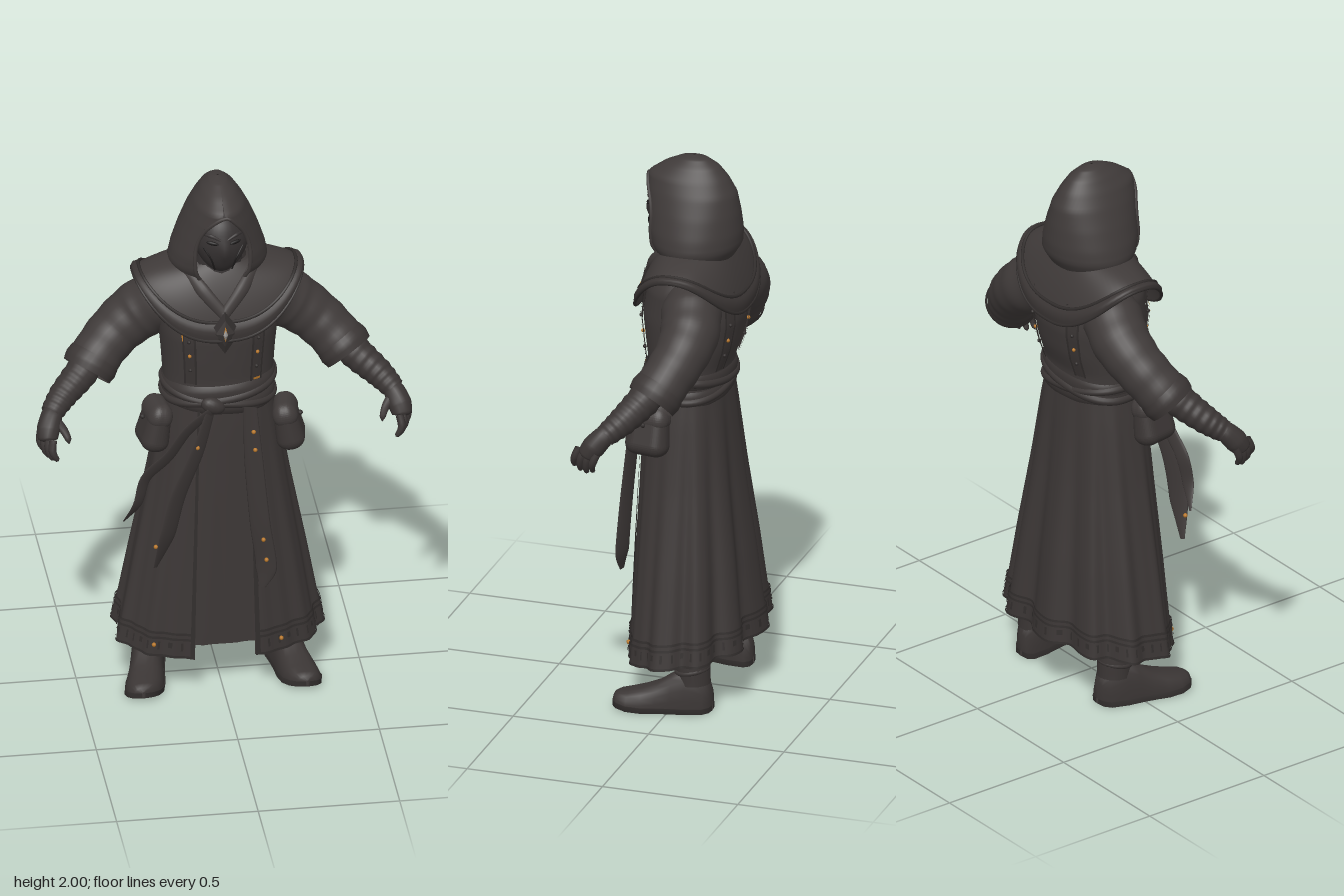
import * as THREE from 'three';
import { RoundedBoxGeometry } from 'three/addons/geometries/RoundedBoxGeometry.js';

const paint = (name, color) => {
  const m = new THREE.MeshStandardMaterial({ color, side: THREE.DoubleSide });
  m.name = name;
  return m;
};
const V = (x, y, z) => new THREE.Vector3(x, y, z);

// Surface from f(u, v); u runs around, v runs down
function grid(nu, nv, f, closed = false) {
  const pos = [], idx = [], w = closed ? nu : nu + 1;
  for (let j = 0; j <= nv; j++)
    for (let i = 0; i < w; i++) pos.push(...f(i / nu, j / nv).toArray());
  for (let j = 0; j < nv; j++)
    for (let i = 0; i < nu; i++) {
      const a = j * w + i, b = j * w + ((i + 1) % w), c = a + w, d = b + w;
      idx.push(a, c, b, b, c, d);
    }
  const g = new THREE.BufferGeometry();
  g.setAttribute('position', new THREE.Float32BufferAttribute(pos, 3));
  g.setIndex(idx);
  g.computeVertexNormals();
  return g;
}

// Tube with varying radius through [x, y, z, r]; flat squeezes it along ref
function limb(pts, { sides = 14, rows = 24, flat = 1, ref = V(0, 0, 1), ripple = 0, waves = 8 } = {}) {
  const curve = new THREE.CatmullRomCurve3(pts.map(p => V(p[0], p[1], p[2])));
  return grid(sides, rows, (u, v) => {
    const k = v * (pts.length - 1), i = Math.min(Math.floor(k), pts.length - 2);
    const r = THREE.MathUtils.lerp(pts[i][3], pts[i + 1][3], k - i) * (1 + ripple * Math.sin(v * waves * 6.283));
    const t = curve.getTangent(v), n = V().copy(ref).cross(t).normalize(), b = t.clone().cross(n);
    const a = u * Math.PI * 2;
    return curve.getPoint(v).addScaledVector(n, r * Math.cos(a)).addScaledVector(b, -r * flat * Math.sin(a));
  }, true);
}

// Interpolate a table whose first column is the key, descending
function lookup(rows, y) {
  let i = 0;
  while (i < rows.length - 2 && y < rows[i + 1][0]) i++;
  const t = THREE.MathUtils.clamp((rows[i][0] - y) / (rows[i][0] - rows[i + 1][0]), 0, 1);
  return rows[i].map((q, k) => THREE.MathUtils.lerp(q, rows[i + 1][k], t));
}
const soft = (q, e) => Math.sign(q) * Math.abs(q) ** e;
// Point on a rounded section; angle 0 is the front, rows are [y, halfWidth, front, back]
function around(rows, y, a, off = 0) {
  const [, rx, zf, zb] = lookup(rows, y), c = Math.cos(a);
  return V((rx + off) * soft(Math.sin(a), 0.88), y, ((c > 0 ? zf : zb) + off) * soft(c, 0.88));
}

const TORSO = [[1.68, 0.1, 0.07, 0.1], [1.62, 0.18, 0.11, 0.15], [1.54, 0.215, 0.15, 0.18], [1.42, 0.21, 0.17, 0.185],
  [1.32, 0.2, 0.16, 0.165], [1.24, 0.195, 0.15, 0.135], [1.12, 0.19, 0.15, 0.13]];
const SKIRT = [[1.18, 0.185, 0.155, 0.125], [1.05, 0.21, 0.165, 0.14], [0.8, 0.25, 0.175, 0.165], [0.5, 0.305, 0.185, 0.2], [0.18, 0.36, 0.195, 0.23]];
const HOOD = [ // y, halfWidth, depth, centre z, opening half angle
  [2, 0.004, 0.004, 0, 0], [1.992, 0.03, 0.05, 0, 0], [1.965, 0.06, 0.1, 0.008, 0], [1.925, 0.088, 0.145, 0.02, 0.02],
  [1.87, 0.115, 0.162, 0.008, 0.56], [1.8, 0.143, 0.166, 0, 0.7], [1.73, 0.166, 0.168, -0.005, 0.64],
  [1.68, 0.176, 0.16, -0.01, 0.56], [1.64, 0.16, 0.135, -0.01, 0.5]];

const torsoAt = (a, y, off = 0) => around(TORSO, y, a, off);
function skirtAt(a, v, off = 0) {
  const back = 0.5 - 0.5 * Math.cos(a);
  const p = around(SKIRT, 1.18 - v, a, off + v * (0.003 + 0.018 * back) * Math.cos(a * 11 - 4.24) + 0.003 * v * Math.sin(a * 23));
  p.y -= v * v * 0.03 * Math.cos(a) - 0.005;
  return p;
}
const slit = v => Math.asin(Math.min(0.9, (0.082 + 0.02 * v) / lookup(SKIRT, 1.18 - v)[1])) * 0.88;
const skirtAngle = (u, v) => THREE.MathUtils.lerp(slit(v), Math.PI * 2 - slit(v), u);
function mantleAt(a, v, off = 0) {
  const s = Math.sin(a), c = Math.cos(a);
  const k = Math.sin(v * Math.PI / 2) * 0.6 + v * 0.4;
  const hem = (c > 0 ? 1.43 : 1.45) + (c > 0 ? 0.195 : 0.175) * Math.abs(s) ** 2.1;
  const rx = THREE.MathUtils.lerp(0.12, 0.295, k), rz = THREE.MathUtils.lerp(0.1, c > 0 ? 0.195 : 0.187, k);
  return V((rx + off) * soft(s, 0.84), THREE.MathUtils.lerp(1.685, hem, v ** 1.2) + off * 0.7, (rz + off) * soft(c, 0.84) - 0.012);
}

export function createModel() {
  const root = new THREE.Group();
  const cloth = paint('charcoal cloth', 0x3f3a39), skirtCloth = paint('dark robe cloth', 0x3c3736);
  const trim = paint('dark trim', 0x312d2c), leather = paint('leather', 0x3a3534);
  const maskMat = paint('mask', 0x353131), black = paint('shadow black', 0x1b1919);
  const gold = paint('aged gold', 0xb8772a), silver = paint('silver gem', 0x9a9794);
  const add = (name, geo, mat, parent = root) => {
    const m = new THREE.Mesh(geo, mat);
    m.name = name;
    parent.add(m);
    return m;
  };
  const stud = (p, mat = gold, r = 0.008) => add('stud', new THREE.SphereGeometry(r, 8, 6), mat).position.copy(p);
  const TAU = Math.PI * 2;

  // Torso, with stitched strips front and back
  add('torso', grid(48, 24, (u, v) => torsoAt(u * TAU, 1.68 - v * 0.56), true), cloth);
  for (const a of [0.55, -0.55, Math.PI - 0.5, Math.PI + 0.5]) {
    add('torsoStrip', grid(4, 12, (u, v) => torsoAt(a + (u - 0.5) * 0.2, 1.54 - v * 0.3, 0.007)), leather);
    for (const e of [-0.11, 0.11])
      add('stripEdge', grid(1, 12, (u, v) => torsoAt(a + e + (u - 0.5) * 0.04, 1.54 - v * 0.3, 0.01)), trim);
    for (let i = 0; i < 3; i++) stud(torsoAt(a, 1.42 - i * 0.06, 0.008), i === 1 ? gold : trim, 0.007);
  }
  // Gold clasps on the chest
  for (const [a, y, w, h] of [[-0.6, 1.455, 0.09, 0.009], [-0.66, 1.44, 0.025, 0.035], [0.55, 1.25, 0.14, 0.009]])
    add('clasp', grid(2, 2, (u, v) => torsoAt(a + (u - 0.5) * w, y + (0.5 - v) * h, 0.013)), gold);
  for (const s of [-1, 1])
    add('neckFold', limb([[s * 0.12, 1.67, 0.07, 0.02], [s * 0.07, 1.61, 0.13, 0.025], [0, 1.53, 0.17, 0.02]], { flat: 0.6 }), cloth);
  add('neck', new THREE.CylinderGeometry(0.075, 0.1, 0.16, 20), maskMat).position.set(0, 1.65, 0.02);

  // Mantle with a raised border and pendant
  add('mantle', grid(64, 14, (u, v) => mantleAt(u * TAU, v), true), cloth);
  add('mantleBorder', grid(64, 4, (u, v) => mantleAt(u * TAU, 0.78 + v * 0.23, 0.004 + 0.008 * Math.sin(v * Math.PI)), true), leather);
  for (const v of [0.77, 1])
    add('mantlePiping', limb(Array.from({ length: 49 }, (_, i) => [...mantleAt(i / 48 * TAU, v, 0.004).toArray(), 0.006]),
      { sides: 6, rows: 96, ref: V(0, 1, 0) }), trim);
  const diamond = (name, w, h, d, z, mat) => {
    const m = add(name, new THREE.OctahedronGeometry(1), mat);
    m.scale.set(w, h, d);
    m.position.set(0, 1.465, z);
  };
  diamond('pendant', 0.056, 0.085, 0.018, 0.183, trim);
  diamond('pendantRim', 0.034, 0.052, 0.016, 0.19, leather);
  diamond('pendantSetting', 0.014, 0.03, 0.012, 0.197, gold);
  diamond('pendantGem', 0.01, 0.022, 0.012, 0.2, silver);

  // Hood with an open front and rolled edge
  const hoodAt = (u, y) => {
    const [, rx, rz, cz, open] = lookup(HOOD, y), a = THREE.MathUtils.lerp(open, TAU - open, u);
    return V(rx * Math.sin(a), y, cz + rz * Math.cos(a));
  };
  add('hood', grid(48, 36, (u, v) => hoodAt(u, 2 - 0.36 * v ** 1.5)), cloth);
  const edge = [];
  for (let i = 0; i <= 8; i++) edge.push([...hoodAt(0, 1.645 + i * 0.034).toArray(), 0.007]);
  add('hoodEdge', limb([...edge, ...edge.slice(0, -1).reverse().map(([x, y, z, r]) => [-x, y, z, r])], { rows: 48, sides: 8 }), cloth);

  // Masked face: narrow jaw, long chin, ridged nose
  const face = new THREE.SphereGeometry(1, 32, 28), fp = face.attributes.position;
  for (let i = 0; i < fp.count; i++) {
    const x = fp.getX(i), y = fp.getY(i), z = fp.getZ(i);
    const jaw = y < 0 ? 1 + y * 0.25 : 1;
    const nose = z > 0 ? 0.016 * Math.exp(-x * x * 40 - (y + 0.05) ** 2 * 12) : 0;
    fp.setXYZ(i, x * 0.1 * jaw, 1.785 + y * 0.125, 0.045 + soft(z, 0.75) * 0.118 + nose);
  }
  face.computeVertexNormals();
  add('mask', face, maskMat);
  for (const s of [-1, 1]) {
    const eye = add('eyeSlit', new THREE.SphereGeometry(1, 12, 8), black);
    eye.scale.set(0.022, 0.007, 0.006);
    eye.position.set(s * 0.04, 1.815, 0.157);
    eye.rotation.set(0, s * 0.3, s * 0.15);
    add('brow', limb([[s * 0.012, 1.828, 0.165, 0.004], [s * 0.045, 1.842, 0.152, 0.007], [s * 0.075, 1.84, 0.128, 0.003]], { sides: 8 }), maskMat);
    add('cheekLine', limb([[s * 0.07, 1.79, 0.136, 0.003], [s * 0.045, 1.75, 0.154, 0.003], [s * 0.03, 1.7, 0.143, 0.003]], { sides: 6 }), black);
  }

  // Skirt, open over an inner panel
  add('skirt', grid(132, 30, (u, v) => skirtAt(skirtAngle(u, v), v), false), skirtCloth);
  add('innerPanel', grid(12, 20, (u, v) => skirtAt((u - 0.5) * 1.1, v * 0.955, -0.014)), skirtCloth);
  add('skirtHem', grid(132, 4, (u, v) => skirtAt(skirtAngle(u, 0.91 + v * 0.085), 0.91 + v * 0.085, 0.004)), leather);
  for (const h of [0.905, 0.925, 0.99])
    add('hemPiping', grid(132, 2, (u, v) => skirtAt(skirtAngle(u, h), h + v * 0.009, 0.007)), trim);
  for (let i = 1; i < 44; i++) {
    const a = skirtAngle(i / 44, 0.95), n = i % 3;
    add('hemStitch', grid(1, 2, (u, v) => skirtAt(a + (u - 0.5) * (n ? 0.025 : 0.05), 0.943 + v * (n ? 0.03 : 0.02), 0.007)), trim);
  }
  for (const s of [-1, 1])
    add('openingEdge', grid(2, 24, (u, v) => skirtAt(s * (slit(v) + u * 0.045), v, 0.005)), trim);

  // Wrapped sash, knot and hanging tails
  [[1.2, 0.012, 0.035, 0.014], [1.155, -0.012, 0.035, 0.013], [1.18, 0.03, 0.02, 0.021], [1.165, -0.03, 0.018, 0.02]].forEach(([y, tilt, h, out]) =>
    add('sashWrap', grid(56, 6, (u, v) => {
      const a = u * TAU, p = around(SKIRT, 1.17, a, out * Math.sqrt(Math.sin(v * Math.PI) + 0.02));
      p.y = y + tilt * Math.sin(a) - (v - 0.5) * 2 * h;
      return p;
    }, true), leather));
  const knot = add('sashKnot', new THREE.SphereGeometry(1, 16, 12), leather);
  knot.scale.set(0.045, 0.03, 0.025);
  knot.position.set(-0.04, 1.165, 0.17);
  knot.rotation.z = -0.4;
  const tails = [
    [0.6, [[-0.05, 1.15, 0.185, 0.02], [-0.13, 1.08, 0.185, 0.024], [-0.2, 0.98, 0.185, 0.026], [-0.28, 0.9, 0.185, 0.026], [-0.31, 0.8, 0.19, 0.022], [-0.355, 0.72, 0.165, 0.004]]],
    [0.6, [[-0.05, 1.15, 0.18, 0.02], [-0.1, 1.0, 0.2, 0.032], [-0.17, 0.84, 0.222, 0.036], [-0.21, 0.68, 0.225, 0.036], [-0.25, 0.55, 0.21, 0.008]]],
    [-0.35, [[0.09, 1.15, 0.175, 0.025], [0.1, 0.95, 0.192, 0.034], [0.12, 0.7, 0.212, 0.037], [0.14, 0.52, 0.22, 0.039], [0.125, 0.45, 0.225, 0.012]]]];
  tails.forEach(([turn, t]) => add('sashTail', limb(t, { flat: 0.2, rows: 30, ref: V(turn, 0, 1).normalize() }), leather));
  [[-0.1, 1.02, 0.207], [-0.25, 0.64, 0.222], [0.1, 1.06, 0.193], [0.105, 0.99, 0.198], [0.13, 0.64, 0.226], [0.14, 0.56, 0.23]].forEach(p => stud(V(...p)));
  for (const a of [-0.7, 0.54]) stud(skirtAt(a, 0.955, 0.008));

  for (const s of [-1, 1]) {
    // Belt pouch, fuller at the bottom, with a flap
    const pouch = new THREE.Group();
    pouch.name = 'pouch';
    pouch.position.set(s * 0.235, s > 0 ? 1.035 : 1.065, 0.09);
    pouch.rotation.set(0, s * -0.15, s * 0.2);
    root.add(pouch);
    const taper = geo => {
      const p = geo.attributes.position;
      for (let i = 0; i < p.count; i++) {
        const k = 1 - 2.2 * (p.getY(i) + 0.02);
        p.setXYZ(i, p.getX(i) * k, p.getY(i), p.getZ(i) * (1 + (k - 1) * 0.5));
      }
      geo.computeVertexNormals();
      return geo;
    };
    add('pouchBody', taper(new RoundedBoxGeometry(0.095, 0.18, 0.155, 6, 0.045)), leather, pouch);
    add('pouchFlap', taper(new RoundedBoxGeometry(0.105, 0.09, 0.165, 6, 0.044).translate(0, 0.05, 0)), cloth, pouch);
    add('pouchButton', new THREE.SphereGeometry(0.009, 8, 6), trim, pouch).position.set(s * 0.05, 0.025, 0);

    // Wide sleeve, cuff and wrapped forearm
    add('sleeve', limb([[s * 0.11, 1.535, -0.03, 0.085], [s * 0.195, 1.485, -0.055, 0.106], [s * 0.27, 1.43, -0.072, 0.104], [s * 0.345, 1.372, -0.062, 0.094],
      [s * 0.405, 1.315, -0.035, 0.09], [s * 0.455, 1.255, -0.002, 0.089]], { sides: 28, rows: 40, ripple: 0.012, waves: 6 }), cloth);
    add('cuff', limb([[s * 0.43, 1.287, -0.02, 0.092], [s * 0.447, 1.267, -0.008, 0.097], [s * 0.463, 1.246, 0.004, 0.091]], { sides: 28, rows: 6 }), leather);
    add('sleeveLining', limb([[s * 0.43, 1.287, -0.02, 0.088], [s * 0.435, 1.281, -0.017, 0.003]], { sides: 24, rows: 2 }), black);
    add('forearm', limb([[s * 0.42, 1.31, -0.02, 0.058], [s * 0.495, 1.245, 0.033, 0.058], [s * 0.56, 1.195, 0.08, 0.05], [s * 0.605, 1.155, 0.125, 0.04]],
      { sides: 18, rows: 60, ripple: 0.03, waves: 8 }), leather);

    // Gloved hand with curled fingers
    add('palm', limb([[s * 0.59, 1.17, 0.11, 0.03], [s * 0.605, 1.15, 0.132, 0.038], [s * 0.62, 1.115, 0.162, 0.042], [s * 0.626, 1.085, 0.183, 0.035], [s * 0.626, 1.075, 0.188, 0.003]]), leather);
    for (let i = 0; i < 4; i++) {
      const z = 0.142 + i * 0.026, x = 0.645 - i * 0.011, drop = [0.01, 0, 0.002, 0.012][i];
      add('finger', limb([[s * x, 1.1, z, 0.014], [s * (x + 0.005), 1.07, z + 0.012, 0.014], [s * x, 1.04 + drop, z + 0.018, 0.012],
        [s * (x - 0.012), 1.02 + drop, z + 0.018, 0.009], [s * (x - 0.016), 1.014 + drop, z + 0.017, 0.001]], { sides: 8, rows: 12 }), leather);
    }
    add('thumb', limb([[s * 0.59, 1.135, 0.15, 0.018], [s * 0.567, 1.11, 0.175, 0.015], [s * 0.555, 1.085, 0.195, 0.011], [s * 0.553, 1.07, 0.2, 0.001]], { sides: 8, rows: 12 }), leather);

    // Leg and boot
    add('leg', limb([[s * 0.13, 0.75, -0.02, 0.085], [s * 0.18, 0.4, -0.05, 0.075], [s * 0.225, 0.2, -0.07, 0.06], [s * 0.23, 0.1, -0.075, 0.06]], { sides: 20 }), leather);
    const fold = add('ankleFold', new THREE.TorusGeometry(0.056, 0.009, 8, 24), leather);
    fold.position.set(s * 0.228, 0.15, -0.07);
    fold.rotation.x = Math.PI / 2 + 0.2;
    const foot = [[-0.142, 0.004, 0.03], [-0.138, 0.03, 0.08], [-0.12, 0.05, 0.13], [-0.06, 0.06, 0.16], [-0.01, 0.06, 0.135], [0.04, 0.063, 0.1],
      [0.09, 0.069, 0.08], [0.14, 0.068, 0.062], [0.175, 0.055, 0.048], [0.193, 0.034, 0.036], [0.2, 0.003, 0.02]];
    const footAt = (k, a, grow, low) => {
      const [z, w, h] = foot[k], q = Math.sin(a), lift = z > 0.12 ? (z - 0.12) * 0.2 : 0;
      return V(s * (0.25 + z * 0.2) - (w + grow) * soft(Math.cos(a), 0.7), lift + (low ? (q > 0 ? 0.02 : 0) : 0.004 + Math.max(0, q) ** 0.9 * h), z);
    };
    const n = foot.length - 1;
    add('boot', grid(24, n, (u, v) => footAt(Math.round(v * n), u * TAU, 0, false), true), leather);
    add('bootSole', grid(24, n, (u, v) => footAt(Math.round(v * n), u * TAU, 0.003, true), true), trim);
  }
  return root;
}
